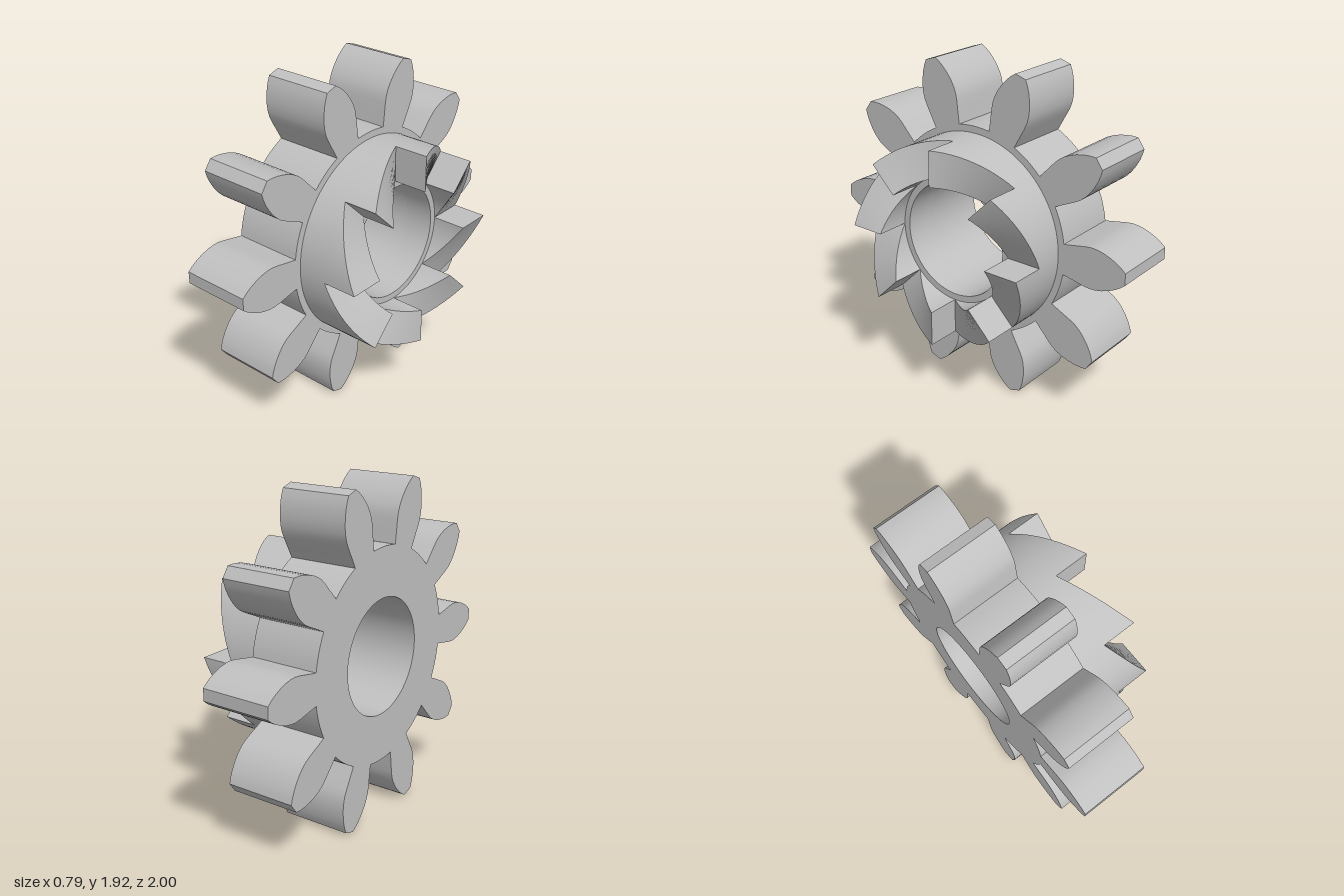
import * as THREE from 'three';
import { toCreasedNormals } from 'three/addons/utils/BufferGeometryUtils.js';

const BACK = -0.395, FACE = 0.017, VALLEY = 0.19, TIP = 0.395; // positions along the axis (x)
const BORE = 0.337, INNER = 0.375, OUTER = 0.582, ROOT = 0.6216;
const TEETH = 10, RATCHETS = 8, CREASE = 0.5;

// Half profile of a gear tooth: [radial distance, half width], root to tip
const FLANK = [
  [0.615, 0.09], [0.69, 0.104], [0.745, 0.115], [0.785, 0.12], [0.82, 0.118],
  [0.86, 0.11], [0.9, 0.096], [0.94, 0.077], [0.97, 0.058], [0.998, 0.035],
];

function gearGeometry() {
  const shape = new THREE.Shape();
  const rootHalf = Math.atan2(0.09, 0.615);
  for (let i = 0; i < TEETH; i++) {
    const a = (i / TEETH) * Math.PI * 2;
    const c = Math.cos(a), s = Math.sin(a);
    const outline = [
      ...FLANK.map(([r, w]) => [r, -w]),
      ...FLANK.slice().reverse(),
    ];
    outline.forEach(([r, w], k) => {
      const x = r * c - w * s, y = r * s + w * c;
      if (i === 0 && k === 0) shape.moveTo(x, y);
      else shape.lineTo(x, y);
    });
    // Root arc to the next tooth
    const from = a + rootHalf, to = a + (Math.PI * 2) / TEETH - rootHalf;
    for (let k = 1; k < 6; k++) {
      const t = from + ((to - from) * k) / 6;
      shape.lineTo(ROOT * Math.cos(t), ROOT * Math.sin(t));
    }
  }
  shape.holes.push(new THREE.Path().absarc(0, 0, BORE, 0, Math.PI * 2, true));
  const g = new THREE.ExtrudeGeometry(shape, { depth: FACE - BACK, bevelEnabled: false, curveSegments: 48 });
  g.rotateY(Math.PI / 2).translate(BACK, 0, 0);
  return toCreasedNormals(g, CREASE);
}

// Ring from the gear face up to the ratchet valleys, with a narrow ledge round the bore
function collarGeometry() {
  const profile = [[OUTER, FACE], [OUTER, VALLEY], [BORE, VALLEY], [BORE, FACE]];
  const g = new THREE.LatheGeometry(profile.map((p) => new THREE.Vector2(...p)), 96);
  g.rotateZ(-Math.PI / 2);
  return toCreasedNormals(g, CREASE);
}

// Helical ramp rising from the valley to a radial wall
function ratchetGeometry() {
  const steps = 12, pos = [], index = [];
  for (let i = 0; i <= steps; i++) {
    const u = i / steps, a = -u * (Math.PI * 2) / RATCHETS;
    const top = VALLEY + (TIP - VALLEY) * u;
    for (const [x, r] of [[VALLEY, INNER], [VALLEY, OUTER], [top, OUTER], [top, INNER]]) {
      pos.push(x, r * Math.sin(a), r * Math.cos(a));
    }
  }
  for (let i = 0; i < steps; i++) {
    for (let j = 1; j < 4; j++) {
      const k = (j + 1) % 4;
      const a = i * 4 + j, b = a + 4, d = i * 4 + k, c = d + 4;
      index.push(a, b, c);
      if (i > 0 || j === 2) index.push(a, c, d);
    }
  }
  const e = steps * 4;
  index.push(e, e + 3, e + 2, e, e + 2, e + 1);
  const g = new THREE.BufferGeometry();
  g.setAttribute('position', new THREE.Float32BufferAttribute(pos, 3));
  g.setIndex(index);
  return toCreasedNormals(g, CREASE);
}

export function createModel() {
  const steel = new THREE.MeshStandardMaterial({ color: 0xc0c0c0 });
  steel.name = 'steel grey';

  const model = new THREE.Group();
  model.name = 'ratchetGear';
  const add = (name, geometry) => {
    const mesh = new THREE.Mesh(geometry, steel);
    mesh.name = name;
    model.add(mesh);
    return mesh;
  };

  add('gearWheel', gearGeometry());
  add('collar', collarGeometry());

  const ratchet = ratchetGeometry();
  for (let i = 0; i < RATCHETS; i++) {
    add(`ratchetTooth${i + 1}`, ratchet).rotation.x = (i / RATCHETS) * Math.PI * 2;
  }

  model.position.y = 0.962;
  return model;
}
